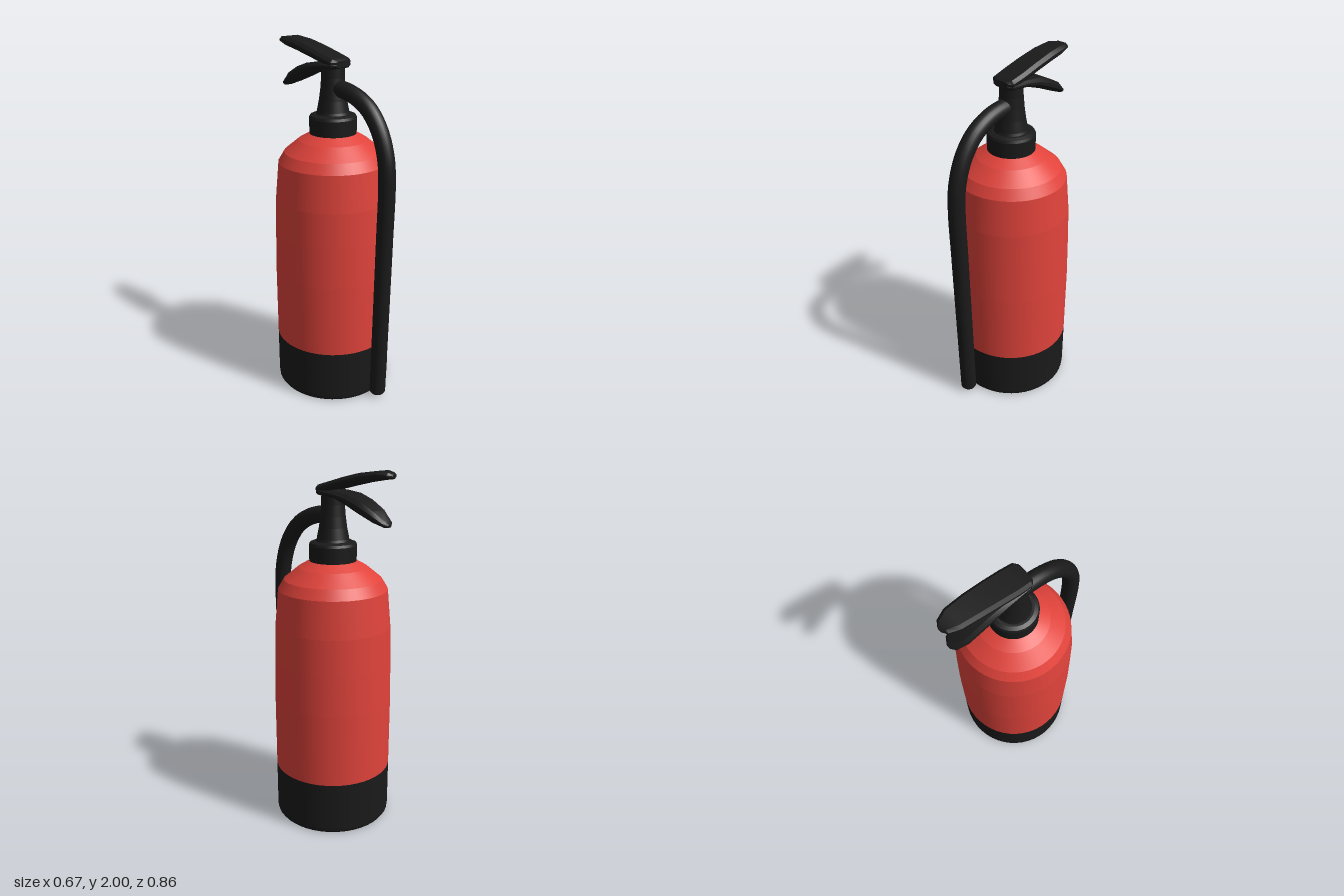
import * as THREE from 'three';
import { mergeGeometries, toCreasedNormals } from 'three/addons/utils/BufferGeometryUtils.js';

const AXIS_Z = -0.022;
const red = new THREE.MeshStandardMaterial({ color: 0xe0433b });
const black = new THREE.MeshStandardMaterial({ color: 0x1a1a1a });

// Turned part: smooth around the axis, with a crisp edge at every profile point
function turned(name, profile, material, segments = 48) {
  const bands = [];
  for (let i = 0; i < profile.length - 1; i++) {
    const pair = [profile[i], profile[i + 1]].map(([r, y]) => new THREE.Vector2(r, y));
    bands.push(new THREE.LatheGeometry(pair, segments));
  }
  const mesh = new THREE.Mesh(mergeGeometries(bands), material);
  mesh.name = name;
  mesh.position.z = AXIS_Z;
  return mesh;
}

// Lever: chamfered cross-sections [z, top, bottom, halfWidth] lofted front to back
function lever(name, stations) {
  const positions = [];
  const index = [];
  const n = 8;
  for (const [z, top, bottom, w] of stations) {
    const c = (top - bottom) * 0.35;
    const k = Math.min(0.016, w * 0.4);
    const ring = [
      [w, bottom + c], [w, top - c], [w - k, top], [k - w, top],
      [-w, top - c], [-w, bottom + c], [k - w, bottom], [w - k, bottom],
    ];
    for (const [x, y] of ring) positions.push(x, y, z);
  }
  for (let s = 0; s < stations.length - 1; s++) {
    for (let i = 0; i < n; i++) {
      const a = s * n + i, a2 = s * n + (i + 1) % n;
      index.push(a, a + n, a2, a2, a + n, a2 + n);
    }
  }
  const last = (stations.length - 1) * n;
  for (let i = 1; i < n - 1; i++) {
    index.push(0, i, i + 1, last, last + i + 1, last + i);
  }
  const geometry = new THREE.BufferGeometry();
  geometry.setAttribute('position', new THREE.Float32BufferAttribute(positions, 3));
  geometry.setIndex(index);
  const mesh = new THREE.Mesh(toCreasedNormals(geometry, 0.5), black);
  mesh.name = name;
  return mesh;
}

// Hose bending from the neck down the front, with a closed lower end
function hose() {
  const group = new THREE.Group();
  group.name = 'hose';
  const radius = 0.046;
  const path = new THREE.CatmullRomCurve3([
    [1.757, -0.02], [1.75, 0.07], [1.725, 0.16], [1.67, 0.25], [1.57, 0.325],
    [1.44, 0.37], [1.3, 0.382], [1.0, 0.376], [0.5, 0.364], [0.03, 0.352],
  ].map(([y, z]) => new THREE.Vector3(0, y, z)));
  const tube = new THREE.Mesh(new THREE.TubeGeometry(path, 60, radius, 20), black);
  tube.name = 'hoseTube';
  const tip = new THREE.Mesh(new THREE.CylinderGeometry(radius, radius * 0.85, 0.012, 20), black);
  tip.name = 'hoseTip';
  tip.position.set(0, 0.025, 0.352);
  group.add(tube, tip);
  return group;
}

export function createModel() {
  const model = new THREE.Group();
  model.name = 'fireExtinguisher';

  // Tank with a tapering shoulder, and the dark foot beneath it
  model.add(turned('tank', [
    [0.333, 0.305], [0.333, 0.72], [0.328, 0.95], [0.322, 1.15],
    [0.303, 1.355], [0.27, 1.41], [0.19, 1.475], [0.125, 1.512],
  ], red));
  model.add(turned('base', [
    [0, 0], [0.322, 0], [0.331, 0.012], [0.333, 0.03], [0.333, 0.305],
  ], black));

  // Collar and the waisted valve neck
  model.add(turned('collar', [
    [0.1, 1.505], [0.129, 1.505], [0.131, 1.595], [0.125, 1.609], [0.105, 1.617], [0, 1.617],
  ], black));
  model.add(turned('valveNeck', [
    [0.096, 1.61], [0.088, 1.63], [0.076, 1.69], [0.068, 1.75],
    [0.063, 1.81], [0.062, 1.89], [0, 1.89],
  ], black, 32));

  // Squeeze lever above, carrying handle below
  model.add(lever('upperLever', [
    [0.054, 1.902, 1.882, 0.05], [0.035, 1.912, 1.87, 0.073], [-0.04, 1.932, 1.886, 0.076],
    [-0.14, 1.96, 1.91, 0.074], [-0.25, 1.986, 1.935, 0.07], [-0.355, 2.0, 1.953, 0.062],
    [-0.41, 1.993, 1.96, 0.04], [-0.428, 1.982, 1.966, 0.012],
  ]));
  model.add(lever('lowerHandle', [
    [0.054, 1.888, 1.868, 0.05], [0.035, 1.892, 1.86, 0.072], [-0.08, 1.885, 1.85, 0.074],
    [-0.17, 1.875, 1.818, 0.073], [-0.25, 1.848, 1.783, 0.069], [-0.335, 1.803, 1.748, 0.062],
    [-0.39, 1.759, 1.726, 0.04], [-0.408, 1.74, 1.726, 0.012],
  ]));

  model.add(hose());
  return model;
}
